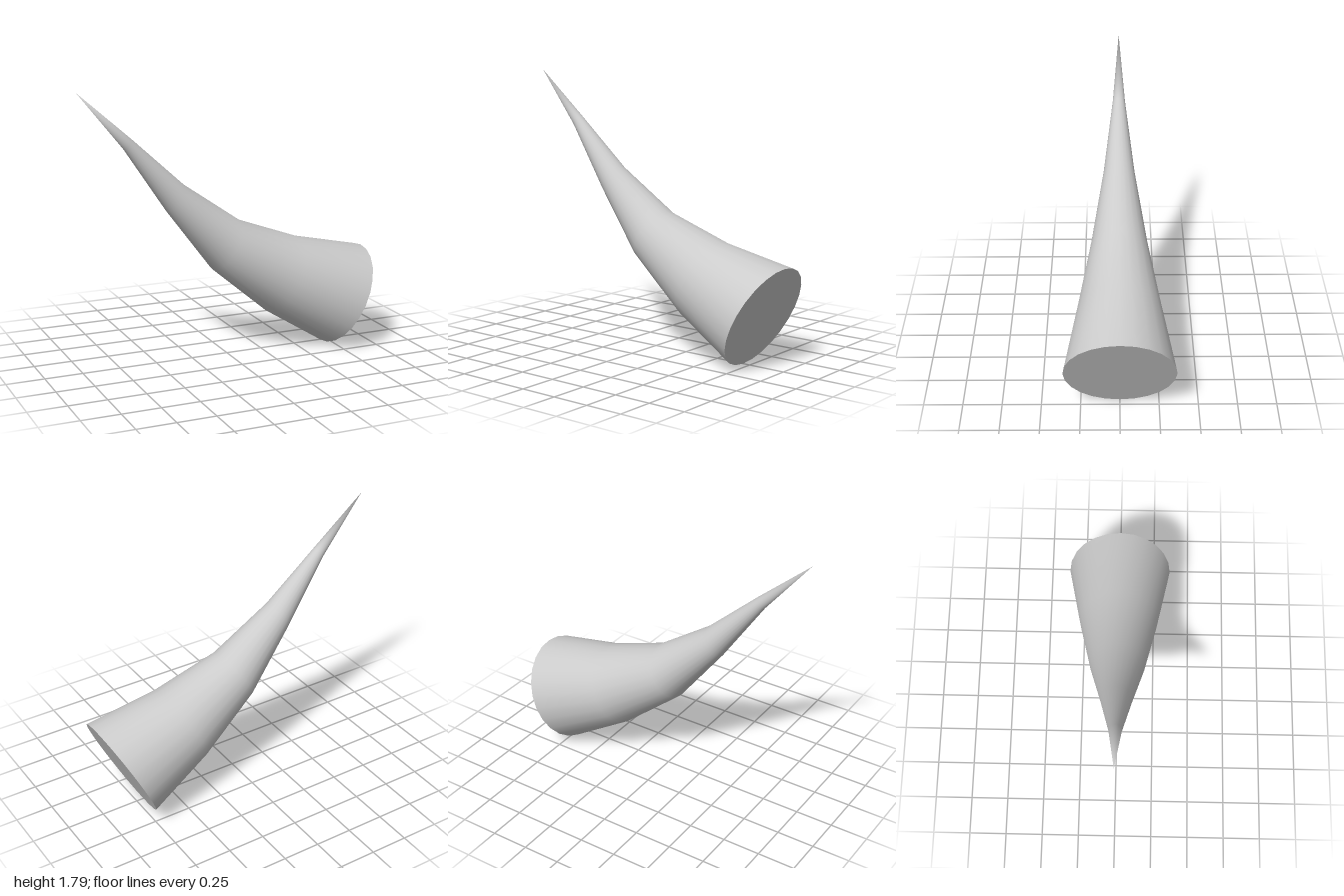
import * as THREE from 'three';

const SIDES = 24;

// Each cross-section: upper point (x, y) and lower point (x, y), base to tip
const SECTIONS = [
  [1.0, 0.645, 0.7, 0.0],
  [0.515, 0.75, 0.285, 0.26],
  [0.085, 0.905, -0.105, 0.59],
  [-0.3, 1.17, -0.415, 1.0],
  [-0.645, 1.485, -0.7, 1.425],
];
const TIP = [-1, 1.795, 0];

// Circle of points whose diameter runs from the lower to the upper point
function ring([tx, ty, bx, by]) {
  const cx = (tx + bx) / 2, cy = (ty + by) / 2;
  const ux = tx - cx, uy = ty - cy, r = Math.hypot(ux, uy);
  const points = [];
  for (let j = 0; j < SIDES; j++) {
    const a = (j / SIDES) * Math.PI * 2, c = Math.cos(a);
    points.push(cx + ux * c, cy + uy * c, r * Math.sin(a));
  }
  return points;
}

function buildMesh(name, positions, indices, material) {
  const geometry = new THREE.BufferGeometry();
  geometry.setAttribute('position', new THREE.Float32BufferAttribute(positions, 3));
  geometry.setIndex(indices);
  geometry.computeVertexNormals();
  const mesh = new THREE.Mesh(geometry, material);
  mesh.name = name;
  return mesh;
}

export function createModel() {
  const group = new THREE.Group();
  group.name = 'horn';
  const material = new THREE.MeshStandardMaterial({ color: 0xcccccc });

  // Curved, tapering body closed by a point
  const positions = [...SECTIONS.flatMap(ring), ...TIP];
  const indices = [];
  const last = SECTIONS.length - 1, tip = SECTIONS.length * SIDES;
  for (let i = 0; i <= last; i++) {
    for (let j = 0; j < SIDES; j++) {
      const a = i * SIDES + j, b = i * SIDES + ((j + 1) % SIDES);
      if (i === last) indices.push(a, tip, b);
      else indices.push(a, a + SIDES, b, b, a + SIDES, b + SIDES);
    }
  }
  group.add(buildMesh('hornBody', positions, indices, material));

  // Flat disc closing the wide end
  const fan = [];
  for (let j = 1; j < SIDES - 1; j++) fan.push(0, j, j + 1);
  group.add(buildMesh('baseCap', ring(SECTIONS[0]), fan, material));

  return group;
}
